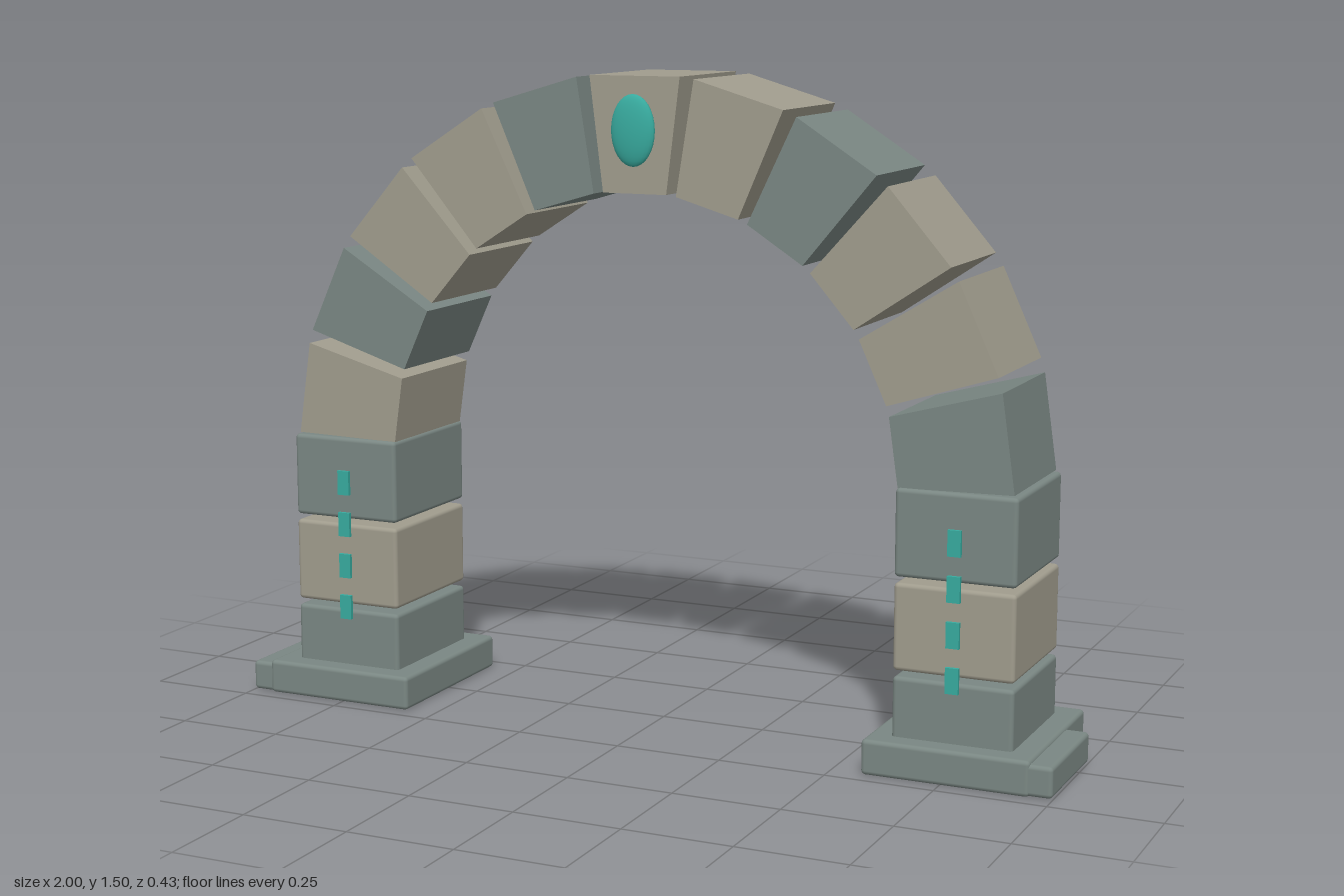
import * as THREE from 'three';
import { RoundedBoxGeometry } from 'three/addons/geometries/RoundedBoxGeometry.js';

const material = (name, color) => {
  const m = new THREE.MeshStandardMaterial({ color });
  m.name = name;
  return m;
};

export function createModel() {
  const tan = material('sandy stone', 0xa09c8d);
  const grey = material('grey stone', 0x7a8783);
  const teal = material('teal glow', 0x38ab9f);
  const group = new THREE.Group();
  group.name = 'stoneArch';

  const add = (parent, name, geometry, mat, x = 0, y = 0, z = 0) => {
    const mesh = new THREE.Mesh(geometry, mat);
    mesh.name = name;
    mesh.position.set(x, y, z);
    parent.add(mesh);
    return mesh;
  };
  // Softly rounded block given by its x, y and z ranges
  const block = (parent, name, mat, [x0, x1], [y0, y1], [z0, z1]) =>
    add(parent, name, new RoundedBoxGeometry(x1 - x0, y1 - y0, z1 - z0, 2, 0.01), mat,
      (x0 + x1) / 2, (y0 + y1) / 2, (z0 + z1) / 2);

  // Arch: eleven wedge stones around a half circle, with gaps between
  const count = 11, centreY = 0.62, outer = 0.886, inner = 0.625, depth = 0.31;
  const half = THREE.MathUtils.degToRad(7.1);
  const wedge = new THREE.Shape([[outer, -half], [outer, half], [inner, half], [inner, -half]]
    .map(([r, a]) => new THREE.Vector2(r * Math.cos(a), r * Math.sin(a))));
  const wedgeGeometry = new THREE.ExtrudeGeometry(wedge, { depth, bevelEnabled: false });
  wedgeGeometry.translate(0, 0, -depth / 2);
  const arch = new THREE.Group();
  arch.name = 'arch';
  group.add(arch);
  for (let i = 0; i < count; i++) {
    const name = i === 5 ? 'keystone' : 'archStone' + (i + 1);
    const stone = add(arch, name, wedgeGeometry, i % 3 === 1 ? grey : tan, 0, centreY, 0);
    stone.rotation.z = Math.PI * (1 - (i + 0.5) / count);
  }

  // Oval gem on the keystone
  const gem = add(group, 'keystoneGem', new THREE.SphereGeometry(1, 24, 16), teal, 0, 1.38, 0.162);
  gem.scale.set(0.053, 0.08, 0.018);

  // Pillars with plinth, side step and glowing marks
  for (const side of [-1, 1]) {
    const pillar = new THREE.Group();
    pillar.name = side > 0 ? 'leftPillar' : 'rightPillar';
    group.add(pillar);
    const span = (a, b) => (side > 0 ? [a, b] : [-b, -a]);
    block(pillar, 'plinth', grey, span(0.57, 0.95), [0, 0.08], [-0.215, 0.215]);
    block(pillar, 'plinthStep', grey, span(0.8, 1), [0.002, 0.072], [-0.077, 0.212]);
    [[0.03, 0.215, grey], [0.228, 0.424, tan], [0.437, 0.633, grey]].forEach(([y0, y1, mat], i) =>
      block(pillar, 'pillarBlock' + (i + 1), mat, span(0.622, 0.897), [y0, y1], [-0.164, 0.164]));
    for (let i = 0; i < 4; i++) {
      add(pillar, 'glowMark' + (i + 1), new THREE.BoxGeometry(0.03, 0.058, 0.009), teal,
        side * 0.76, 0.222 + i * 0.101, 0.168);
    }
  }
  return group;
}
